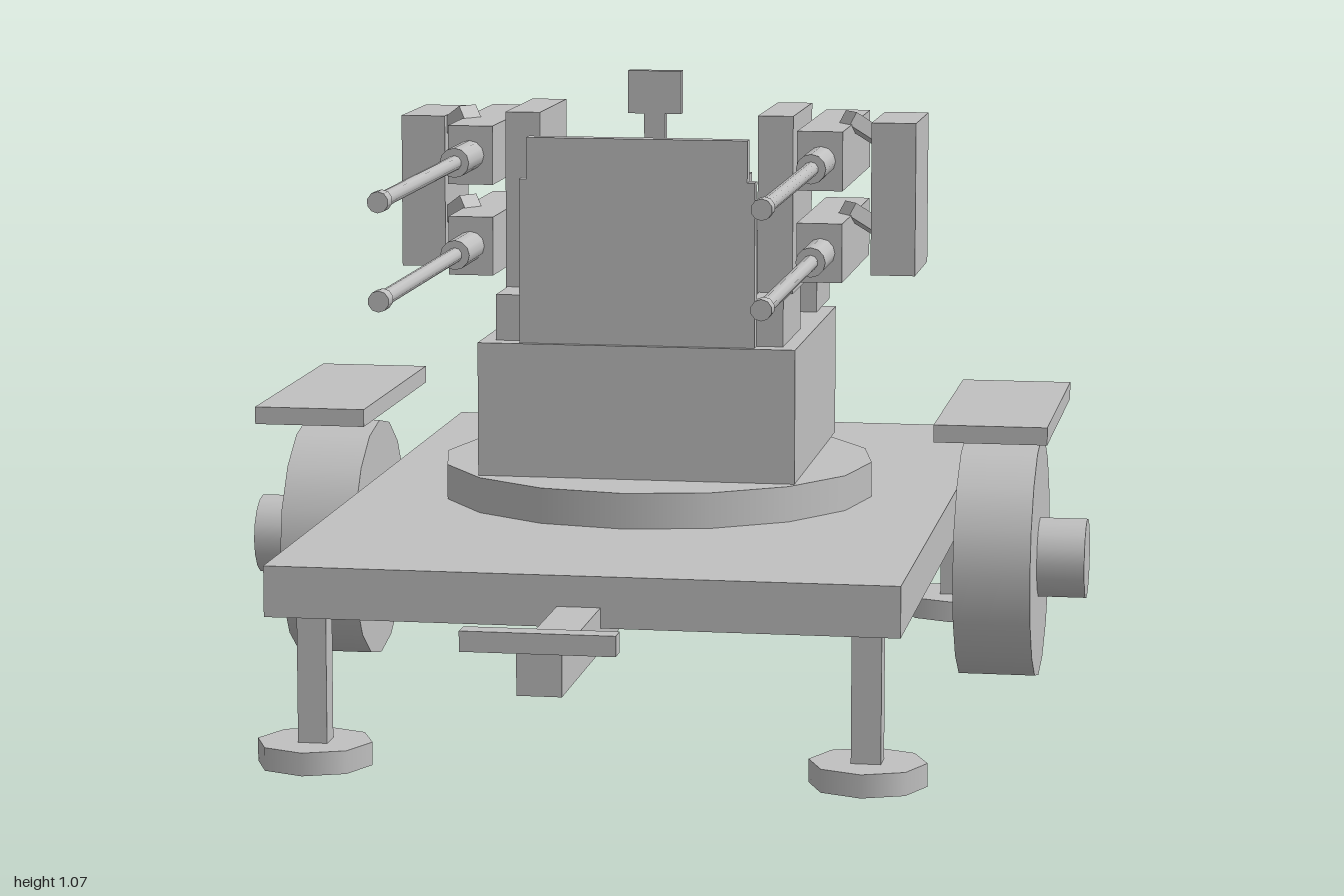
import * as THREE from 'three';

const paint = new THREE.MeshStandardMaterial({ color: 0xc0c0c0 });
paint.name = 'plain grey';

export function createModel() {
  const model = new THREE.Group();
  model.name = 'quadGunTrailer';

  const add = (name, geometry, x, y, z) => {
    const mesh = new THREE.Mesh(geometry, paint);
    mesh.name = name;
    mesh.position.set(x, y, z);
    model.add(mesh);
    return mesh;
  };
  // Box given by its extents on each axis
  const box = (name, [x0, x1], [y0, y1], [z0, z1]) =>
    add(name, new THREE.BoxGeometry(Math.abs(x1 - x0), y1 - y0, z1 - z0),
      (x0 + x1) / 2, (y0 + y1) / 2, (z0 + z1) / 2);
  // Upright cylinder from y0 to y1
  const disc = (name, r, sides, x, y0, y1, z) =>
    add(name, new THREE.CylinderGeometry(r, r, y1 - y0, sides), x, (y0 + y1) / 2, z);
  // Cylinder along x
  const axle = (name, r, sides, x0, x1, y, z) =>
    add(name, new THREE.CylinderGeometry(r, r, Math.abs(x1 - x0), sides).rotateZ(Math.PI / 2),
      (x0 + x1) / 2, y, z);
  // Cylinder along z
  const rod = (name, r, sides, x, y, z0, z1) =>
    add(name, new THREE.CylinderGeometry(r, r, z1 - z0, sides).rotateX(Math.PI / 2),
      x, y, (z0 + z1) / 2);

  // Trailer bed and drawbar
  box('platform', [-0.51, 0.51], [0.257, 0.34], [-0.91, 0.65]);
  box('drawbar', [-0.035, 0.035], [0.22, 0.29], [-1, 0.985]);
  box('towCrossbar', [-0.12, 0.12], [0.288, 0.32], [0.965, 1]);

  // Turret base
  disc('turntable', 0.372, 16, 0, 0.34, 0.4, -0.13);
  box('turretBody', [-0.27, 0.27], [0.4, 0.627], [-0.435, 0.11]);

  // Front shield with notched upper corners
  box('shield', [-0.2, 0.2], [0.627, 0.905], [0.073, 0.1]);
  box('shieldTop', [-0.187, 0.187], [0.905, 0.975], [0.073, 0.1]);

  // Gunner's seat, console and sight
  disc('seatPost', 0.02, 8, 0, 0.627, 0.75, -0.25);
  disc('seat', 0.1, 10, 0, 0.745, 0.785, -0.255);
  box('console', [-0.152, 0.152], [0.81, 0.89], [-0.2, -0.075]);
  box('sightPost', [-0.018, 0.018], [0.89, 1.01], [-0.11, -0.088]);
  box('sight', [-0.046, 0.046], [1, 1.073], [-0.107, -0.087]);

  for (const s of [-1, 1]) {
    const sx = (a, b) => [s * a, s * b];

    // Road wheels
    axle('wheel', 0.21, 16, s * 0.522, s * 0.654, 0.22, -0.25);
    axle('hub', 0.07, 16, s * 0.654, s * 0.736, 0.22, -0.25);
    box('mudguard', sx(0.492, 0.684), [0.46, 0.49], [-0.505, 0.005]);

    // Levelling jacks
    for (const z of [-0.82, 0.56]) {
      box('jackPost', sx(0.425, 0.473), [0.035, 0.257], [z - 0.022, z + 0.022]);
      disc('jackPad', 0.095, 8, s * 0.45, 0, 0.038, z);
    }

    // Console supports, gun cradle and rear boxes
    box('consoleLeg', sx(0.062, 0.09), [0.627, 0.87], [-0.077, -0.042]);
    box('cradleFoot', sx(0.19, 0.245), [0.627, 0.705], [-0.145, 0.075]);
    box('cradlePlate', sx(0.187, 0.247), [0.703, 1.005], [-0.272, -0.025]);
    box('rearBox', sx(0.112, 0.246), [0.627, 0.77], [-0.535, -0.355]);
    box('ammoBox', sx(0.37, 0.446), [0.727, 0.988], [-0.308, -0.108]);

    // Upper and lower guns
    for (const y of [0.78, 0.935]) {
      box('receiver', sx(0.26, 0.337), [y - 0.05, y + 0.05], [-0.368, 0.023]);
      rod('barrelJacket', 0.025, 12, s * 0.3, y, 0.02, 0.15);
      rod('barrel', 0.0125, 10, s * 0.3, y, 0.14, 0.71);
      rod('muzzle', 0.017, 10, s * 0.3, y, 0.7, 0.732);
      const chute = add('feedChute', new THREE.BoxGeometry(0.1, 0.025, 0.04),
        s * 0.363, y + 0.034, -0.145);
      chute.rotation.set(0, s * 0.6, -s * 0.55);
    }
  }
  return model;
}
